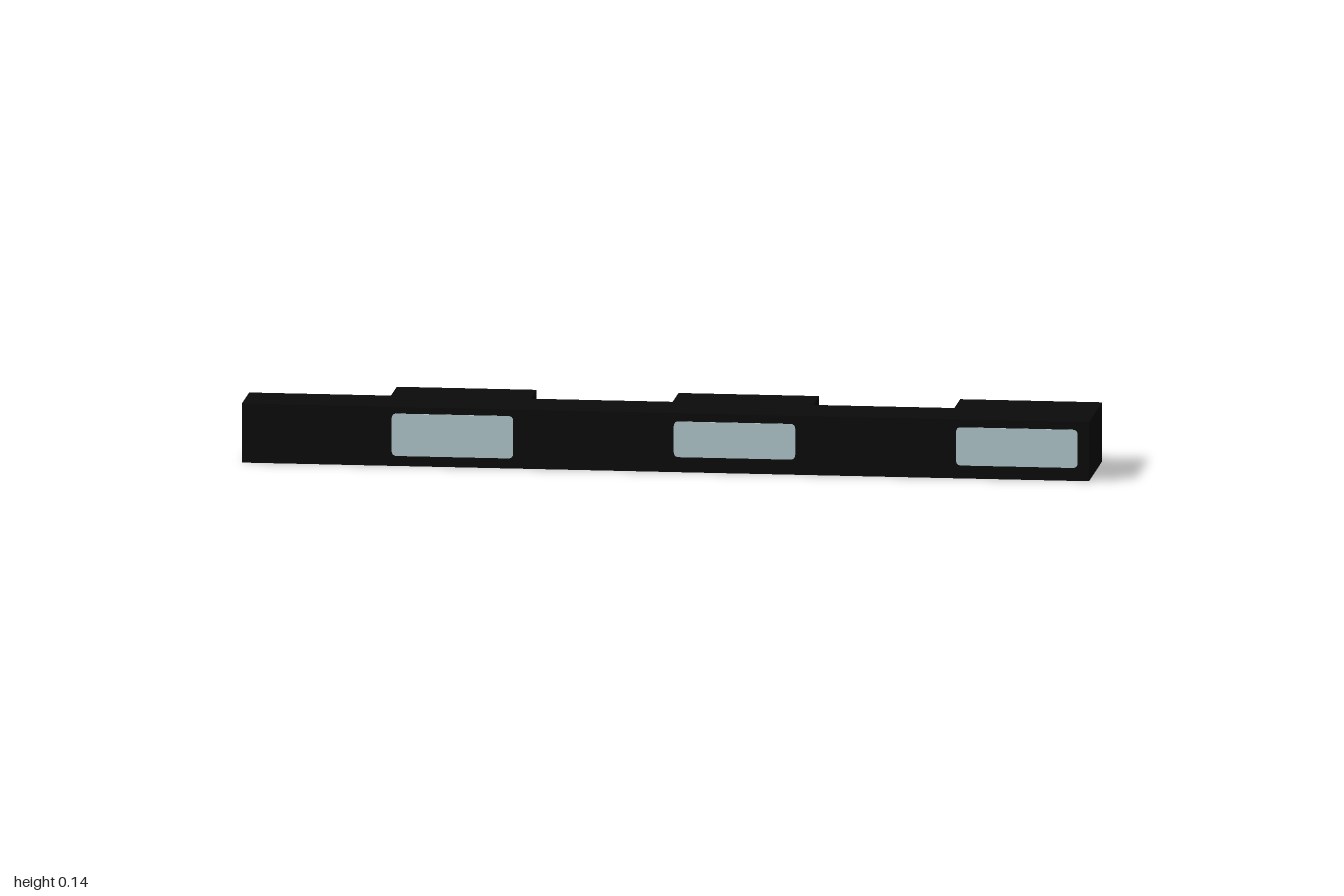
import * as THREE from 'three';

const black = new THREE.MeshStandardMaterial({ name: 'black casing', color: 0x0b0b0b });
const glass = new THREE.MeshStandardMaterial({ name: 'pale blue lens', color: 0xc3dde1 });

const H = 0.141; // overall height
const FRONT = 0.131, STEP = -0.01, BACK = -0.131;

function add(group, name, geometry, material) {
  const mesh = new THREE.Mesh(geometry, material);
  mesh.name = name;
  group.add(mesh);
  return mesh;
}

// Box whose rear rim is chamfered
function blockGeometry(x0, x1) {
  const depth = STEP - BACK, chamfer = 0.007;
  const geo = new THREE.BoxGeometry(x1 - x0, H, depth, 1, 1, 2);
  const p = geo.attributes.position;
  for (let i = 0; i < p.count; i++) {
    const z = p.getZ(i);
    if (Math.abs(z) < 1e-6) p.setZ(i, -depth / 2 + chamfer);
    else if (z < 0) {
      p.setX(i, p.getX(i) - Math.sign(p.getX(i)) * 0.01);
      p.setY(i, p.getY(i) - Math.sign(p.getY(i)) * 0.015);
    }
  }
  geo.translate((x0 + x1) / 2, H / 2, (STEP + BACK) / 2);
  const flat = geo.toNonIndexed();
  flat.computeVertexNormals();
  return flat;
}

// Thin plate with clipped, rounded corners
function lensGeometry(w, h, r) {
  const a = w / 2, b = h / 2, s = new THREE.Shape();
  s.moveTo(-a + r, -b);
  s.lineTo(a - r, -b).quadraticCurveTo(a, -b, a, -b + r);
  s.lineTo(a, b - r).quadraticCurveTo(a, b, a - r, b);
  s.lineTo(-a + r, b).quadraticCurveTo(-a, b, -a, b - r);
  s.lineTo(-a, -b + r).quadraticCurveTo(-a, -b, -a + r, -b);
  return new THREE.ExtrudeGeometry(s, { depth: 0.0015, bevelEnabled: false, curveSegments: 4 });
}

export function createModel() {
  const model = new THREE.Group();
  model.name = 'light bar';

  // Long bar
  const bar = new THREE.BoxGeometry(2, H, FRONT - STEP);
  add(model, 'bar', bar, black).position.set(0, H / 2, (FRONT + STEP) / 2);

  // Three rear blocks, each with a lens in front and behind: [x0, x1, front lens bottom, top]
  const units = [[-0.665, -0.335, 0.024, 0.125], [0, 0.332, 0.036, 0.121], [0.665, 1, 0.031, 0.122]];
  units.forEach(([x0, x1, low, high], i) => {
    const unit = new THREE.Group();
    unit.name = 'lightUnit' + (i + 1);
    model.add(unit);
    add(unit, 'rearBlock', blockGeometry(x0, x1), black);

    const cx = (x0 + x1) / 2 - 0.003;
    const front = add(unit, 'frontLens', lensGeometry(0.287, high - low, 0.012), glass);
    front.position.set(cx, (low + high) / 2, FRONT);
    const rear = add(unit, 'rearLens', lensGeometry(0.287, 0.09, 0.02), glass);
    rear.position.set(cx + 0.003, 0.07, BACK);
    rear.rotation.y = Math.PI;
  });
  return model;
}
